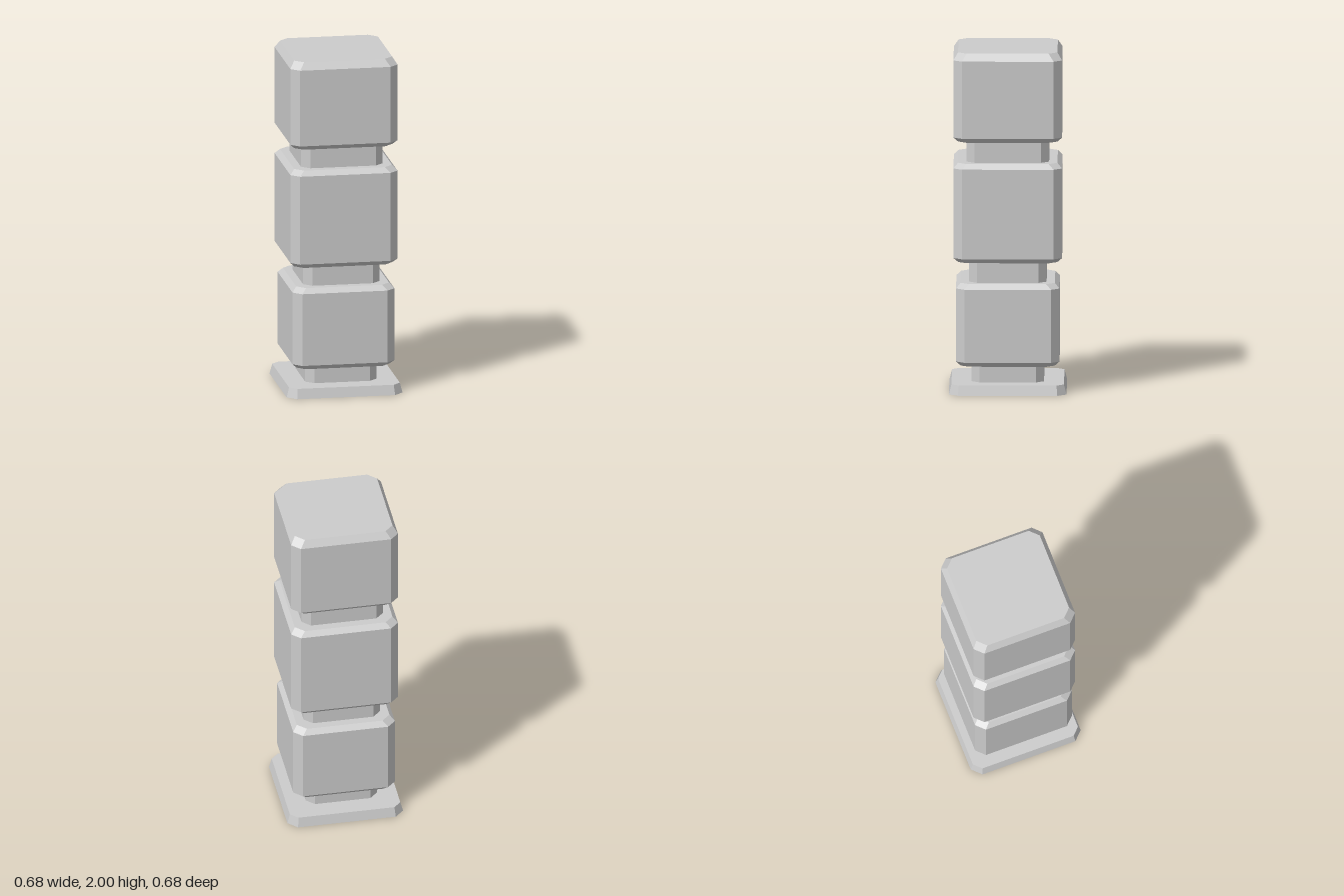
import * as THREE from 'three';

const material = new THREE.MeshStandardMaterial({
  color: 0xcccccc, flatShading: true, side: THREE.DoubleSide,
});

// Square outline with cut corners, counter-clockwise seen from above
function outline([y, half, cut]) {
  const c = half - cut;
  return [
    [half, -c], [c, -half], [-c, -half], [-half, -c],
    [-half, c], [-c, half], [c, half], [half, c],
  ].map(([x, z]) => new THREE.Vector3(x, y, z));
}

// Skin through sections [height, half width, corner cut], optionally closed on top
function shell(name, sections, closed = false) {
  const rings = sections.map(outline);
  const points = [];
  for (let r = 0; r < rings.length - 1; r++) {
    const a = rings[r], b = rings[r + 1];
    for (let i = 0; i < 8; i++) {
      const j = (i + 1) % 8;
      points.push(a[i], a[j], b[j], a[i], b[j], b[i]);
    }
  }
  if (closed) {
    const top = rings[rings.length - 1];
    for (let i = 1; i < 7; i++) points.push(top[0], top[i], top[i + 1]);
  }
  const geometry = new THREE.BufferGeometry().setFromPoints(points);
  geometry.computeVertexNormals();
  const mesh = new THREE.Mesh(geometry, material);
  mesh.name = name;
  return mesh;
}

// Bevelled block; its floor and shoulder run in to the adjoining necks
function block(name, y0, y1, half, lowerNeck, upperNeck, topBevel = 0.029) {
  const end = half - 0.027;
  const sections = [
    [y0, lowerNeck, 0.047],
    [y0, end, 0.048],
    [y0 + 0.027, half, 0.049],
    [y1 - topBevel, half, 0.049],
    [y1, end, 0.05],
  ];
  if (upperNeck) sections.push([y1, upperNeck, 0.047]);
  return shell(name, sections, !upperNeck);
}

function neck(name, y0, y1, half) {
  return shell(name, [[y0, half, 0.047], [y1, half, 0.047]]);
}

export function createModel() {
  const group = new THREE.Group();
  group.name = 'stackedBlockPillar';
  group.add(
    // Flared foot, open underneath
    shell('foot', [[0, 0.341, 0.053], [0.058, 0.326, 0.043], [0.058, 0.21, 0.047]]),
    neck('lowerNeck', 0.058, 0.16, 0.21),
    block('lowerBlock', 0.16, 0.645, 0.3, 0.21, 0.225),
    neck('middleNeck', 0.645, 0.77, 0.225),
    block('middleBlock', 0.77, 1.352, 0.315, 0.225, 0.24),
    neck('upperNeck', 1.352, 1.477, 0.24),
    block('upperBlock', 1.477, 2, 0.315, 0.24, 0, 0.043),
  );
  return group;
}
